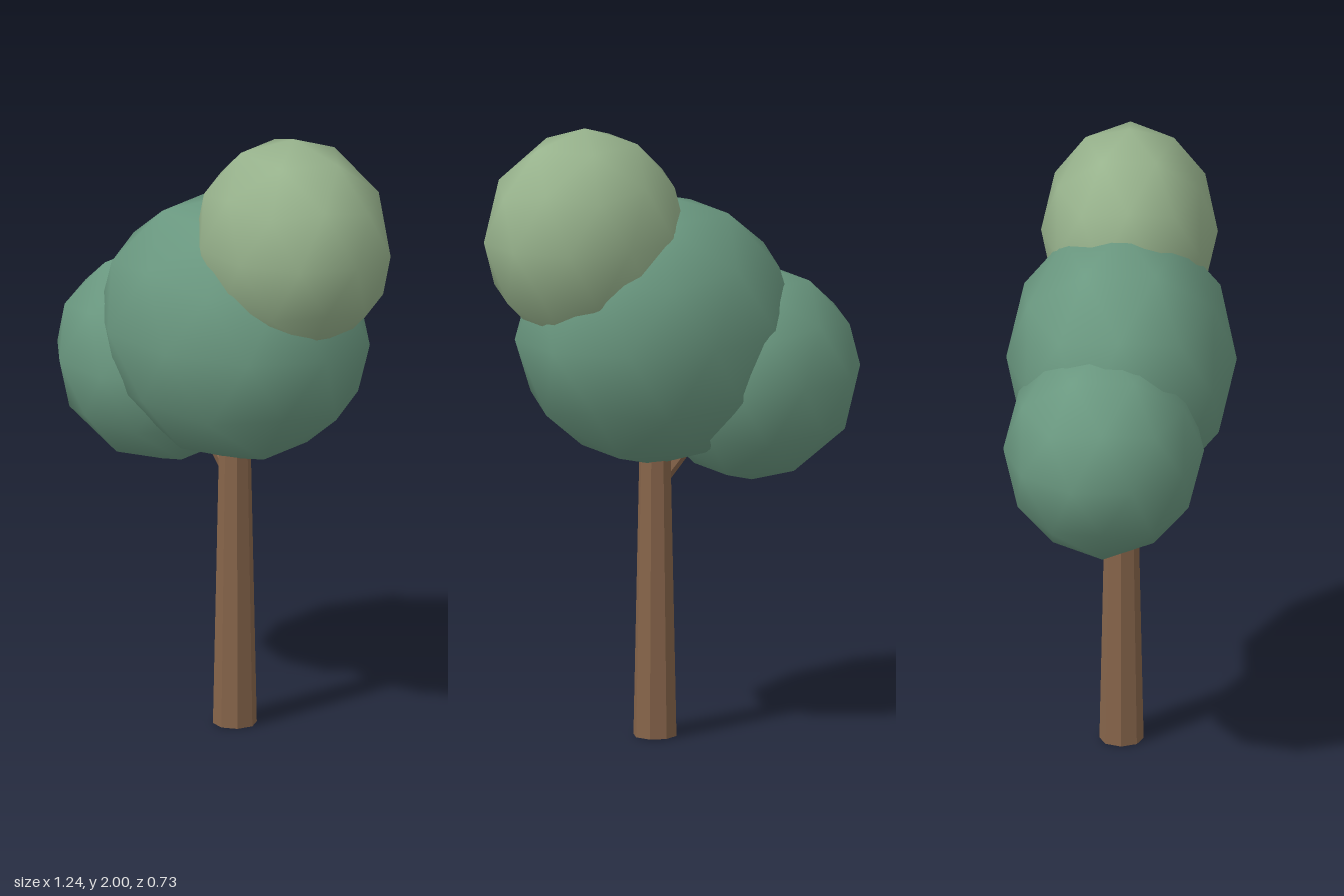
import * as THREE from 'three';

const bark = new THREE.MeshStandardMaterial({ color: 0x86644a });
bark.name = 'bark brown';
const leaf = new THREE.MeshStandardMaterial({ color: 0x6a9880 });
leaf.name = 'leaf green';
const leafLight = new THREE.MeshStandardMaterial({ color: 0x97b28c });
leafLight.name = 'light leaf green';

// Low-poly icosphere with one vertex straight up, stretched to the given radii
function foliage(name, material, center, radii) {
  const geometry = new THREE.IcosahedronGeometry(1, 1);
  geometry.rotateZ(-Math.atan(2 / (1 + Math.sqrt(5))));
  geometry.scale(...radii);
  const mesh = new THREE.Mesh(geometry, material);
  mesh.name = name;
  mesh.position.set(...center);
  return mesh;
}

// Tapered faceted limb running between two points
function limb(name, from, to, r0, r1, sides) {
  const a = new THREE.Vector3(...from);
  const b = new THREE.Vector3(...to);
  const dir = b.clone().sub(a);
  const smooth = new THREE.CylinderGeometry(r1, r0, dir.length(), sides);
  const geometry = smooth.toNonIndexed();
  geometry.computeVertexNormals(); // flat facets
  const mesh = new THREE.Mesh(geometry, bark);
  mesh.name = name;
  mesh.position.copy(a).add(b).multiplyScalar(0.5);
  mesh.quaternion.setFromUnitVectors(new THREE.Vector3(0, 1, 0), dir.normalize());
  return mesh;
}

export function createModel() {
  const tree = new THREE.Group();
  tree.name = 'tree';
  tree.add(
    // Trunk and side branch
    limb('trunk', [0.05, 0, 0], [0.05, 1.1, 0], 0.07, 0.047, 8),
    limb('branch', [0.05, 0.82, 0], [-0.2, 1.1, -0.04], 0.032, 0.022, 6),
    // Crown
    foliage('mainFoliage', leaf, [0.05, 1.32, 0], [0.476, 0.44, 0.365]),
    foliage('lowerFoliage', leaf, [-0.28, 1.15, -0.05], [0.36, 0.35, 0.318]),
    foliage('upperFoliage', leafLight, [0.3, 1.65, 0.02], [0.338, 0.35, 0.28]),
  );
  return tree;
}
